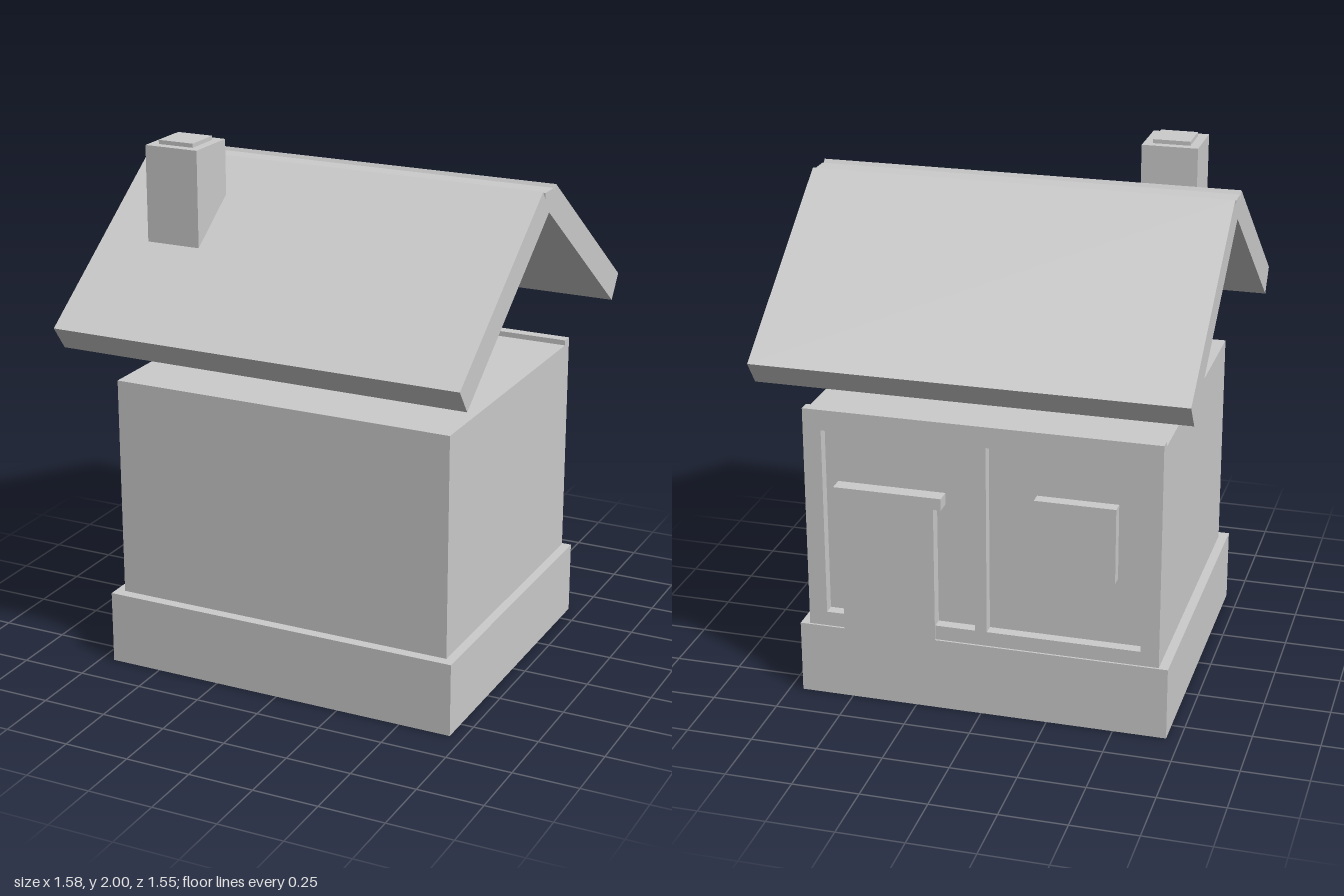
import * as THREE from 'three';

const material = new THREE.MeshStandardMaterial({ color: 0xcccccc, flatShading: true });

export function createModel() {
  const model = new THREE.Group();
  model.name = 'house';

  const add = (name, geometry) => {
    const mesh = new THREE.Mesh(geometry, material);
    mesh.name = name;
    model.add(mesh);
    return mesh;
  };

  // Box given by its extents along each axis
  const box = (name, [x0, x1], [y0, y1], [z0, z1]) => {
    const mesh = add(name, new THREE.BoxGeometry(x1 - x0, y1 - y0, z1 - z0));
    mesh.position.set((x0 + x1) / 2, (y0 + y1) / 2, (z0 + z1) / 2);
    return mesh;
  };

  // Profile of [z, y] points swept along x, centred
  const sweepX = (name, points, length) => {
    const shape = new THREE.Shape(points.map(([z, y]) => new THREE.Vector2(-z, y)));
    const geometry = new THREE.ExtrudeGeometry(shape, { depth: length, bevelEnabled: false });
    geometry.translate(0, 0, -length / 2).rotateY(Math.PI / 2);
    return add(name, geometry);
  };

  // Foundation and main block
  box('foundation', [-0.7, 0.7], [0, 0.28], [-0.598, 0.6]);
  box('walls', [-0.665, 0.665], [0.28, 1.125], [-0.548, 0.56]);

  // Back wall frame with two recessed panels
  const rect = (T, x0, x1, y0, y1) => new T([[x0, y0], [x1, y0], [x1, y1], [x0, y1]]
    .map(([x, y]) => new THREE.Vector2(x, y)));
  const frame = rect(THREE.Shape, -0.665, 0.665, 0.28, 1.145);
  frame.holes.push(
    rect(THREE.Path, 0.022, 0.596, 0.336, 1.066),
    rect(THREE.Path, -0.596, -0.022, 0.336, 1.066),
  );
  const frameGeometry = new THREE.ExtrudeGeometry(frame, { depth: 0.043, bevelEnabled: false });
  add('wallFrame', frameGeometry).position.z = -0.59;

  // Door, lintel and window
  box('door', [0.174, 0.526], [0.28, 0.81], [-0.598, -0.548]);
  box('doorLintel', [0.142, 0.55], [0.81, 0.855], [-0.606, -0.548]);
  box('window', [-0.5, -0.2], [0.595, 0.885], [-0.594, -0.548]);

  // Mirrored roof slabs and the ridge between them
  const slab = [[0.775, 1.37], [0.71, 1.28], [0, 1.797], [0.063, 1.885]];
  sweepX('roofFront', slab, 1.58);
  sweepX('roofBack', slab.map(([z, y]) => [-z, y]), 1.58);
  sweepX('ridge', [[0.04, 1.876], [0.04, 1.853], [0, 1.797], [-0.04, 1.853], [-0.04, 1.876]], 1.58);

  // Chimney with a small cap
  box('chimney', [-0.6, -0.39], [1.32, 1.985], [0.21, 0.42]);
  box('chimneyCap', [-0.565, -0.425], [1.985, 2], [0.243, 0.385]);

  return model;
}
